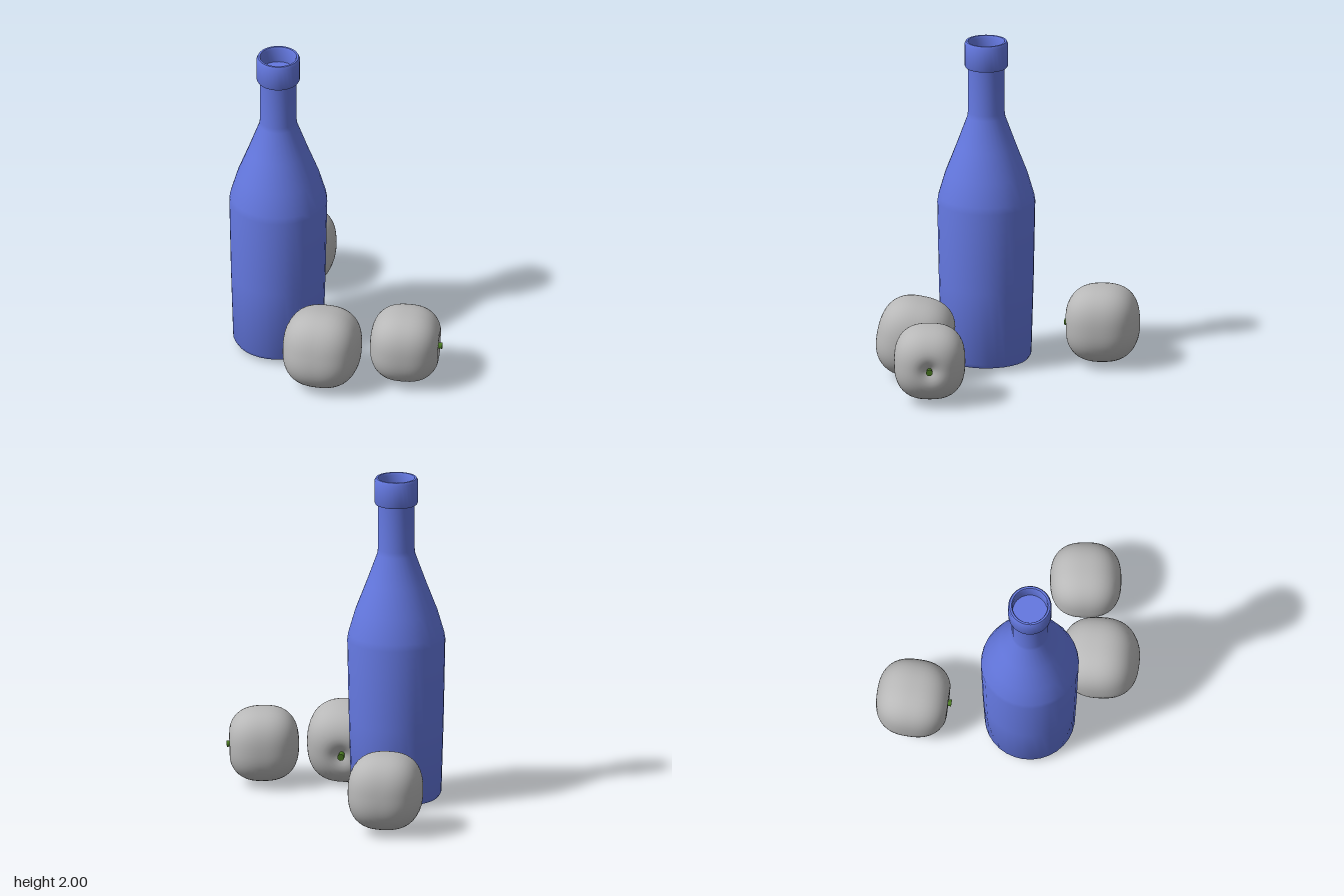
import * as THREE from 'three';
import { mergeVertices, toCreasedNormals } from 'three/addons/utils/BufferGeometryUtils.js';

const mat = (name, color) => {
  const m = new THREE.MeshStandardMaterial({ color });
  m.name = name;
  return m;
};

// Rounded-cube fruit body with a dimple at its +z end
function fruitGeometry() {
  const P = 2.54, half = [0.224, 0.232, 0.224];
  let geo = new THREE.SphereGeometry(1, 48, 32).rotateX(Math.PI / 2);
  geo.deleteAttribute('uv');
  geo.deleteAttribute('normal');
  geo = mergeVertices(geo);
  const pos = geo.attributes.position;
  const v = new THREE.Vector3();
  for (let i = 0; i < pos.count; i++) {
    v.fromBufferAttribute(pos, i).normalize();
    const angle = v.angleTo(new THREE.Vector3(0, 0, 1));
    const sum = v.toArray().reduce((s, c, k) => s + Math.pow(Math.abs(c) / half[k], P), 0);
    const dent = 1 - 0.2 * Math.exp(-Math.pow(angle / 0.27, 2));
    v.multiplyScalar(Math.pow(sum, -1 / P) * dent);
    pos.setXYZ(i, v.x, v.y, v.z);
  }
  geo.computeVertexNormals();
  return geo;
}

export function createModel() {
  const model = new THREE.Group();
  model.name = 'bottleWithFruit';
  const blue = mat('blueGlass', 0x6478e0);
  const grey = mat('greySkin', 0xb8b8b8);
  const green = mat('greenStem', 0x4a7a22);

  // Bottle: outer wall, lip and recessed mouth in one profile
  const profile = [
    [0, 0.03], [0.255, 0.03], [0.27, 0.055], [0.283, 0.5], [0.293, 1.0], [0.287, 1.04],
    [0.246, 1.18], [0.18, 1.35], [0.114, 1.53], [0.11, 1.56], [0.11, 1.84],
    [0.125, 1.84], [0.13, 1.85], [0.13, 1.985], [0.122, 2.0], [0.11, 2.0],
    [0.104, 1.985], [0.104, 1.9], [0, 1.9],
  ].map(([r, y]) => new THREE.Vector2(r, y));
  const bottle = new THREE.Mesh(toCreasedNormals(new THREE.LatheGeometry(profile, 32), 0.7), blue);
  bottle.name = 'bottle';
  bottle.position.set(-0.2, 0, -0.105);
  model.add(bottle);

  // Three fruits lying on their sides, each pointing its stem along (dx, dz)
  const body = fruitGeometry();
  const stemGeo = new THREE.CylinderGeometry(0.021, 0.014, 0.07, 10).rotateX(Math.PI / 2);
  const fruits = [
    { name: 'fruitNearBottle', at: [-0.2, 0.245, 0.415], dx: 0.15, dz: -0.16, pitch: 0.18, size: 1.03 },
    { name: 'fruitFront', at: [0.248, 0.248, 0.638], dx: 0.17, dz: 0.125, pitch: 0.03, size: 0.95 },
    { name: 'fruitBack', at: [0.25, 0.256, -0.635], dx: -0.15, dz: 0.155, pitch: 0.03, size: 0.99 },
  ];
  for (const f of fruits) {
    const group = new THREE.Group();
    group.name = f.name;
    const skin = new THREE.Mesh(body, grey);
    skin.name = 'fruitBody';
    const stem = new THREE.Mesh(stemGeo, green);
    stem.name = 'stem';
    stem.position.z = 0.195;
    group.add(skin, stem);
    group.position.set(...f.at);
    group.rotation.set(f.pitch, Math.atan2(f.dx, f.dz), 0, 'YXZ');
    group.scale.setScalar(f.size);
    model.add(group);
  }
  return model;
}
